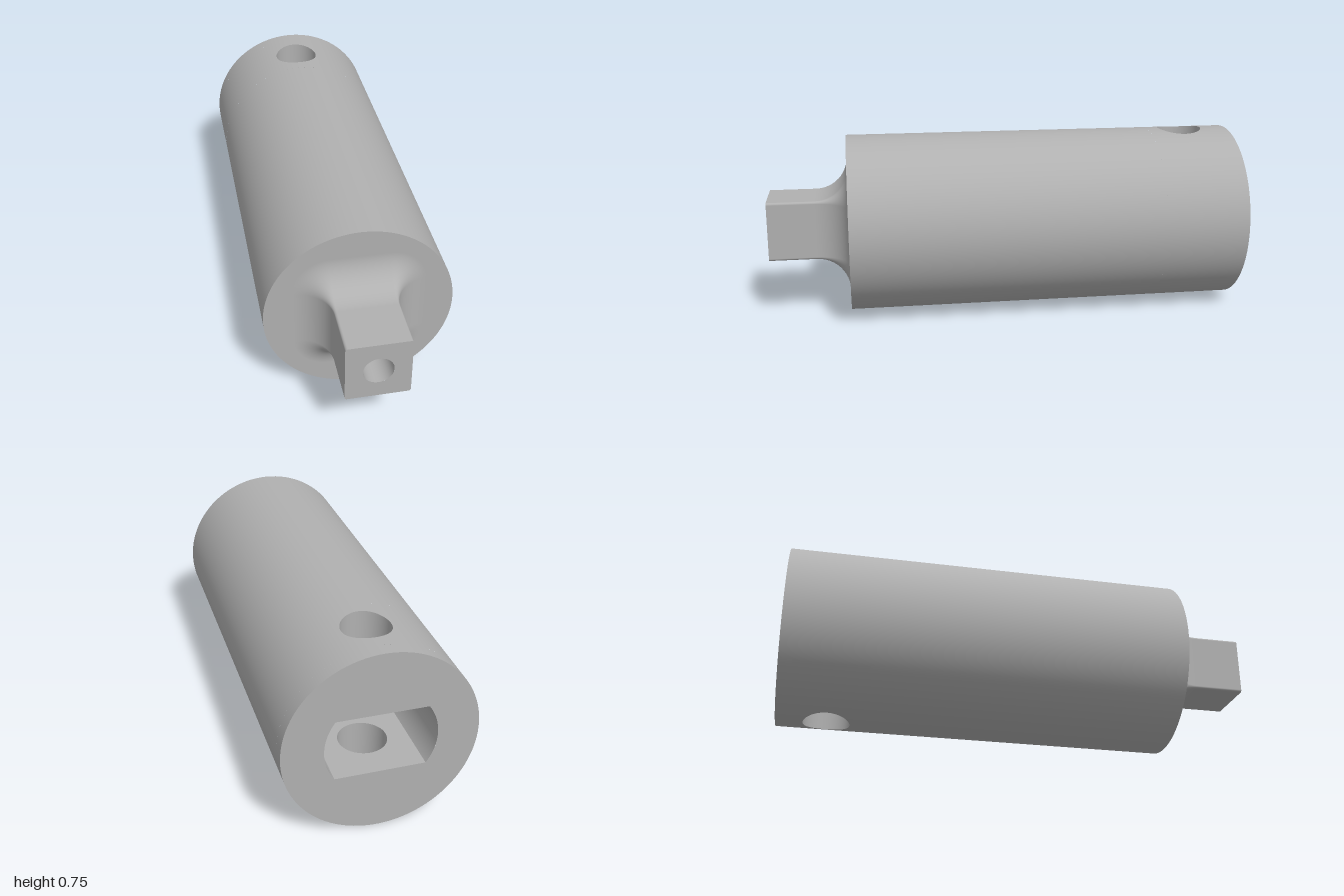
import * as THREE from 'three';
import { mergeGeometries } from 'three/addons/utils/BufferGeometryUtils.js';
import { ParametricGeometry } from 'three/addons/geometries/ParametricGeometry.js';

const R = 0.375, BACK = -1, SHOULDER = 0.665, TIP = 1;   // body radius and z stations
const PIN_R = 0.095, PIN_Z = -0.795, PATCH = 0.15;       // cross hole and the wall patch around it
const SLOT_R = 0.215, FLAT = 0.125, SLOT_END = -0.25;    // double-D socket
const BORE = 0.0585;                                     // axial bore
const HALF = 0.125, CORNER = 0.01, FILLET = 0.137;       // square drive
const TAU = Math.PI * 2;
const lerp = THREE.MathUtils.lerp;

const surface = (fn, nu, nv) => new ParametricGeometry(fn, nu, nv);

// Arc of a tube along z; swap z0 and z1 to face inward
const tube = (r, z0, z1, a0 = 0, a1 = TAU, n = 96) => surface((u, v, p) => {
  const a = lerp(a0, a1, u);
  p.set(r * Math.cos(a), r * Math.sin(a), lerp(z0, z1, v));
}, n, 1);

// A geometry plus its copy turned half round the axis
const both = (g) => [g, g.clone().rotateZ(Math.PI)];

// Rounded square outline, grown outward by d
function squareOutline(u, d) {
  const q = Math.floor(u * 4), f = u * 4 - q, k = HALF - CORNER;
  const corner = (i) => [[k, k], [-k, k], [-k, -k], [k, -k]][i % 4];
  const a = (q + Math.min(f / 0.75, 1)) * Math.PI / 2;
  const s = Math.max(0, (f - 0.75) / 0.25);
  const c0 = corner(q), c1 = corner(q + 1);
  return new THREE.Vector2(
    lerp(c0[0], c1[0], s) + (CORNER + d) * Math.cos(a),
    lerp(c0[1], c1[1], s) + (CORNER + d) * Math.sin(a));
}
const squarePoints = (d) => Array.from({ length: 64 }, (_, i) => squareOutline(i / 64, d));

const circle = (P, r, x = 0, y = 0) => new P().absarc(x, y, r, 0, TAU, false);

function doubleD(P) {
  const a = Math.asin(FLAT / SLOT_R);
  return new P().absarc(0, 0, SLOT_R, -a, a, false)
    .absarc(0, 0, SLOT_R, Math.PI - a, Math.PI + a, false);
}

// Flat face with a hole in it
function plate(shape, hole) {
  shape.holes.push(hole);
  return new THREE.ShapeGeometry(shape, 48);
}

export function createModel() {
  const group = new THREE.Group();
  const steel = new THREE.MeshStandardMaterial({ color: 0xb0b0b0 });
  steel.name = 'grey steel';
  const add = (name, parts) => {
    const mesh = new THREE.Mesh(mergeGeometries(parts), steel);
    mesh.name = name;
    mesh.position.y = R;
    group.add(mesh);
  };

  // Round wall, with a patch around each mouth of the cross hole
  const side = Math.acos(PATCH / R);
  const mouth = surface((u, v, p) => {
    const c = Math.cos(u * TAU), s = Math.sin(u * TAU);
    const r = lerp(PIN_R, PATCH / Math.max(Math.abs(c), Math.abs(s)), v);
    p.set(r * c, Math.sqrt(R * R - r * r * c * c), PIN_Z + r * s);
  }, 64, 8);
  add('bodyWall', [
    tube(R, BACK, PIN_Z - PATCH),
    tube(R, PIN_Z + PATCH, SHOULDER),
    ...both(tube(R, PIN_Z - PATCH, PIN_Z + PATCH, -side, side, 48)),
    ...both(mouth),
  ]);

  // End faces of the body
  add('backFace', [plate(circle(THREE.Shape, R), doubleD(THREE.Path))
    .rotateY(Math.PI).translate(0, 0, BACK)]);
  add('shoulderFace', [plate(circle(THREE.Shape, R), new THREE.Path(squarePoints(FILLET)))
    .translate(0, 0, SHOULDER)]);

  // Socket: curved sides, flats pierced by the cross hole, and the end wall
  const a = Math.asin(FLAT / SLOT_R), w = SLOT_R * Math.cos(a);
  const flat = new THREE.Shape([[-w, -SLOT_END], [w, -SLOT_END], [w, -BACK], [-w, -BACK]]
    .map(([x, y]) => new THREE.Vector2(x, y)));
  add('socket', [
    ...both(tube(SLOT_R, SLOT_END, BACK, -a, a, 24)),
    ...both(plate(flat, circle(THREE.Path, PIN_R, 0, -PIN_Z))
      .rotateX(-Math.PI / 2).translate(0, -FLAT, 0)),
    plate(doubleD(THREE.Shape), circle(THREE.Path, BORE))
      .rotateY(Math.PI).translate(0, 0, SLOT_END),
  ]);

  // Cross hole walls from the flats to the outside
  add('crossHole', both(surface((u, v, p) => {
    const x = PIN_R * Math.cos(u * TAU);
    p.set(x, lerp(FLAT, Math.sqrt(R * R - x * x), v), PIN_Z + PIN_R * Math.sin(u * TAU));
  }, 64, 2)));

  // Square drive flaring into the shoulder
  const drive = surface((u, v, p) => {
    const t = Math.min(v / 0.75, 1) * Math.PI / 2;
    const root = SHOULDER + FILLET;
    const z = v > 0.75 ? lerp(root, TIP, (v - 0.75) * 4) : root - FILLET * Math.cos(t);
    const o = squareOutline(u, FILLET * (1 - Math.sin(t)));
    p.set(o.x, o.y, z);
  }, 64, 16);
  add('squareDrive', [drive,
    plate(new THREE.Shape(squarePoints(0)), circle(THREE.Path, BORE)).translate(0, 0, TIP)]);

  // Axial bore
  add('bore', [tube(BORE, TIP, SLOT_END, 0, TAU, 48)]);

  return group;
}
